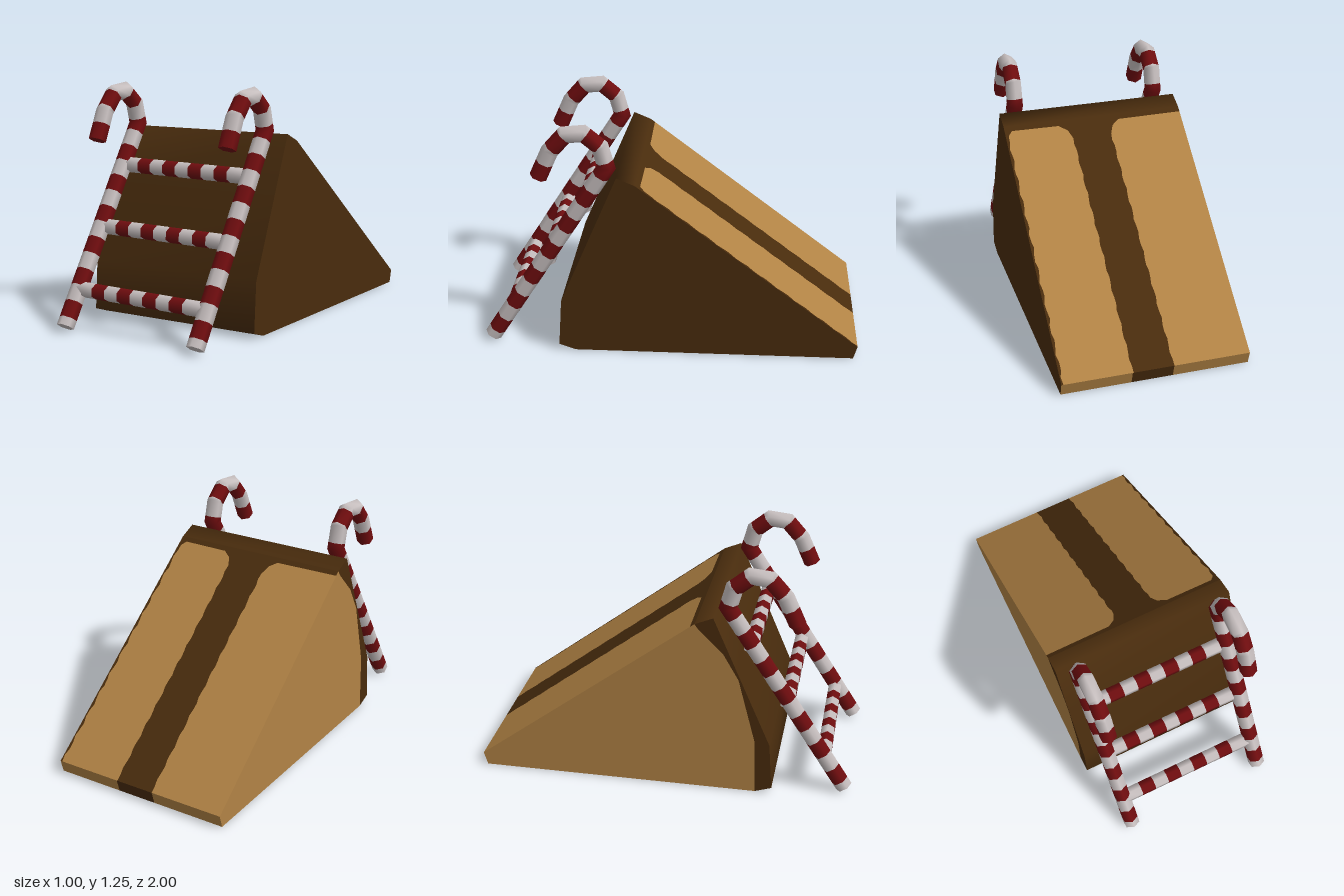
import * as THREE from 'three';

const mat = (name, color, side = THREE.FrontSide) => {
  const m = new THREE.MeshStandardMaterial({ color, side });
  m.name = name;
  return m;
};
const V = (x, y, z) => new THREE.Vector3(x, y, z);

// Striped six-sided tube along a polyline. `side` is a vector square to the whole path,
// `reds` lists the [start, end] distances of the red bands.
function stripedTube(path, side, radius, reds, materials) {
  const SIDES = 6;
  const stops = [0];
  for (let i = 1; i < path.length; i++) stops.push(stops[i - 1] + path[i].distanceTo(path[i - 1]));
  const total = stops[stops.length - 1];
  const dirs = path.slice(1).map((p, i) => p.clone().sub(path[i]).normalize());
  const cuts = reds.flat().filter(s => s > 0 && s < total);
  const marks = [...new Set([...stops, ...cuts])].sort((a, b) => a - b);
  const pos = [], index = [];

  for (const s of marks) {
    let k = 0;
    while (k < dirs.length - 1 && s > stops[k + 1]) k++;
    const center = path[k].clone().addScaledVector(dirs[k], s - stops[k]);
    const t = dirs[k].clone();
    let stretch = 1;
    if (s === stops[k + 1] && k < dirs.length - 1) { // mitred bend
      t.add(dirs[k + 1]).normalize();
      stretch = 1 / t.dot(dirs[k]);
    }
    const n = t.clone().cross(side);
    for (let j = 0; j < SIDES; j++) {
      const a = Math.PI / 6 + j / SIDES * Math.PI * 2;
      const p = center.clone().addScaledVector(side, radius * Math.cos(a))
        .addScaledVector(n, radius * stretch * Math.sin(a));
      pos.push(p.x, p.y, p.z);
    }
  }

  const geo = new THREE.BufferGeometry();
  const isRed = s => (reds.some(([a, b]) => s > a && s < b) ? 1 : 0);
  for (let i = 0; i < marks.length - 1; i++) {
    geo.addGroup(index.length, SIDES * 6, isRed((marks[i] + marks[i + 1]) / 2));
    for (let j = 0; j < SIDES; j++) {
      const a = i * SIDES + j, b = i * SIDES + (j + 1) % SIDES;
      index.push(a, b, b + SIDES, a, b + SIDES, a + SIDES);
    }
  }
  // flat end caps with their own vertices
  for (const [ring, flip, s] of [[0, true, 0.001], [marks.length - 1, false, total - 0.001]]) {
    const base = pos.length / 3;
    pos.push(...pos.slice(ring * SIDES * 3, (ring + 1) * SIDES * 3));
    geo.addGroup(index.length, (SIDES - 2) * 3, isRed(s));
    for (let j = 1; j < SIDES - 1; j++) {
      index.push(base, base + (flip ? j + 1 : j), base + (flip ? j : j + 1));
    }
  }
  geo.setAttribute('position', new THREE.Float32BufferAttribute(pos, 3));
  geo.setIndex(index);
  geo.computeVertexNormals();
  return new THREE.Mesh(geo, materials);
}

// Flat outline [a, b] laid on a surface by place(a, b) -> [x, y, z]
function panel(name, outline, place, material) {
  const geo = new THREE.ShapeGeometry(new THREE.Shape(outline.map(([a, b]) => new THREE.Vector2(a, b))));
  const p = geo.attributes.position;
  for (let i = 0; i < p.count; i++) p.setXYZ(i, ...place(p.getX(i), p.getY(i)));
  geo.computeVertexNormals();
  const mesh = new THREE.Mesh(geo, material);
  mesh.name = name;
  return mesh;
}

// Smooth strip spanning the width, following a (z, y) profile
function strip(name, profile, material) {
  const pos = [], index = [];
  profile.forEach(([z, y], i) => {
    pos.push(-0.5, y, z, 0.5, y, z);
    const a = i * 2;
    if (i > 0) index.push(a - 2, a - 1, a + 1, a - 2, a + 1, a);
  });
  const geo = new THREE.BufferGeometry();
  geo.setAttribute('position', new THREE.Float32BufferAttribute(pos, 3));
  geo.setIndex(index);
  geo.computeVertexNormals();
  const mesh = new THREE.Mesh(geo, material);
  mesh.name = name;
  return mesh;
}

// Slightly wavy line from a to b
function wavy([ax, ay], [bx, by], amp, steps = 36) {
  const pts = [];
  for (let i = 0; i <= steps; i++) {
    const t = i / steps;
    pts.push([ax + (bx - ax) * t + amp * Math.sin(i * 1.9), ay + (by - ay) * t]);
  }
  return pts;
}

export function createModel() {
  const brown = mat('darkBrown', 0x492c0d, THREE.DoubleSide);
  const tan = mat('tan', 0xb28345, THREE.DoubleSide);
  const candy = [mat('candyWhite', 0xc8c0c0), mat('candyRed', 0x700d0f)];
  const model = new THREE.Group();
  model.name = 'candyRamp';

  // Hollow wedge, open underneath; outlines are in (z, y)
  const wedge = new THREE.Group();
  wedge.name = 'wedge';
  const front = [[0.5, 0], [0.588, 0.03], [0.57, 0.29], [0.4, 0.686], [0.265, 1], [0.17, 0.96]];
  const heel = [[-1, 0.07], [-0.98, 0]];
  const edge = [[0.17, 0.96], [0.19, 0.93], [0.32, 0.8], [0.4, 0.66], [0.49, 0.31], [0.5, 0]];
  wedge.add(strip('frontWall', front, brown));
  wedge.add(panel('leftWall', [...front, ...heel], (z, y) => [0.5, y, z], brown));
  // the other wall is brown along the front and tan behind
  const mirrored = (z, y) => [-0.5, y, z];
  wedge.add(panel('rightWallFront', [...front, ...edge.slice(1, -1)], mirrored, brown));
  wedge.add(panel('rightWall', [...edge, ...heel.slice().reverse()], mirrored, tan));

  // Slope: tan panels on both sides of a dark stripe
  const onSlope = (x, t) => [x, 0.96 - 0.89 * t, 0.17 - 1.17 * t];
  const rightEdge = [[-0.5, 0.02], [-0.14, 0.022], [-0.1, 0.045], ...wavy([-0.08, 0.08], [-0.088, 1], 0.004)];
  const leftEdge = [[0.46, 0.02], [0.2, 0.022], [0.155, 0.045], ...wavy([0.135, 0.08], [0.128, 1], 0.004)];
  const rim = wavy([0.489, 1], [0.487, 0.04], 0.006);
  wedge.add(panel('slopePanelRight', [...rightEdge, [-0.5, 1]], onSlope, tan));
  wedge.add(panel('slopePanelLeft', [...leftEdge, ...rim], onSlope, tan));
  wedge.add(panel('slopeStripe', [
    [-0.5, 0], [0.5, 0], [0.5, 1], ...rim, ...leftEdge, ...rightEdge.slice().reverse(),
  ], onSlope, brown));

  // Low back lip
  const onLip = (x, t) => [x, 0.07 * (1 - t), -1 + 0.02 * t];
  for (const [name, a, b, m] of [
    ['backLipRight', -0.5, -0.09, tan], ['backLipStripe', -0.09, 0.13, brown], ['backLipLeft', 0.13, 0.5, tan],
  ]) {
    wedge.add(panel(name, [[a, 0], [b, 0], [b, 1], [a, 1]], onLip, m));
  }
  model.add(wedge);

  // Ladder rails with hooked tops
  const ladder = new THREE.Group();
  ladder.name = 'ladder';
  const cane = [[0.965, 0.023], [0.325, 1.02], [0.355, 1.13], [0.44, 1.2], [0.535, 1.19], [0.615, 1.1], [0.68, 0.955]];
  const railReds = Array.from({ length: 8 }, (_, k) => [0.045 + 0.18 * k, 0.135 + 0.18 * k]);
  railReds.push([1.51, 1.605], [1.695, 9]);
  for (const [name, x] of [['railLeft', 0.4], ['railRight', -0.4]]) {
    const rail = stripedTube(cane.map(([z, y]) => V(x, y, z)), V(1, 0, 0), 0.046, railReds, candy);
    rail.name = name;
    ladder.add(rail);
  }

  // Rungs
  const rungReds = Array.from({ length: 4 }, (_, k) => [0.11 + 0.16 * k, 0.19 + 0.16 * k]);
  [[0.194, 0.85], [0.493, 0.644], [0.8, 0.447]].forEach(([y, z], i) => {
    const rung = stripedTube([V(-0.4, y + 0.006, z), V(0.4, y - 0.006, z)], V(0, 0, 1), 0.041, rungReds, candy);
    rung.name = 'rung' + (i + 1);
    ladder.add(rung);
  });
  model.add(ladder);
  return model;
}
